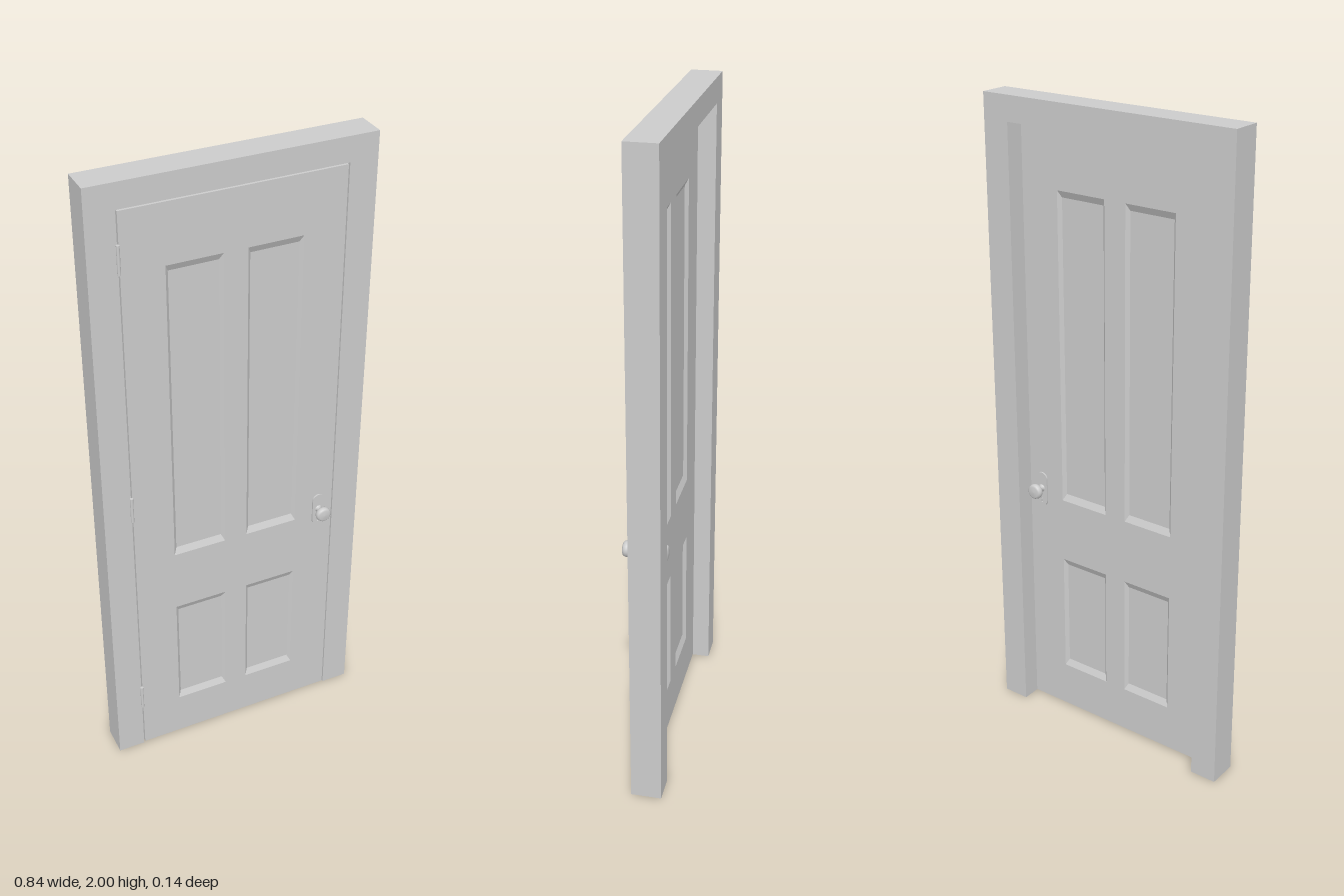
import * as THREE from 'three';

const FRONT = 0.022, DOOR_BACK = -0.017, FRAME_BACK = -0.071;
const HALF_W = 0.418, TOP = 2;
const DOOR_HALF = 0.329, DOOR_BOTTOM = 0.005, DOOR_TOP = 1.921, GAP = 0.004;

// Panel openings as [x0, y0, x1, y1], mirrored left and right
const PANELS = [];
for (const [y0, y1] of [[0.154, 0.551], [0.76, 1.74]]) {
  PANELS.push([-0.203, y0, -0.036, y1], [0.036, y0, 0.203, y1]);
}

function rectPath(x0, y0, x1, y1, Type = THREE.Shape) {
  return new Type().setFromPoints([
    new THREE.Vector2(x0, y0), new THREE.Vector2(x1, y0),
    new THREE.Vector2(x1, y1), new THREE.Vector2(x0, y1),
  ]);
}

// Sunken panel: four sloped sides running down to a flat field
function panelGeometry(x0, y0, x1, y1) {
  const ix = 0.01, iy = 0.021, depth = 0.01;
  const outer = [[x0, y0, 0], [x1, y0, 0], [x1, y1, 0], [x0, y1, 0]];
  const inner = [
    [x0 + ix, y0 + iy, -depth], [x1 - ix, y0 + iy, -depth],
    [x1 - ix, y1 - iy, -depth], [x0 + ix, y1 - iy, -depth],
  ];
  const pos = [];
  const quad = (a, b, c, d) => pos.push(...a, ...b, ...c, ...a, ...c, ...d);
  for (let i = 0; i < 4; i++) {
    const j = (i + 1) % 4;
    quad(outer[i], outer[j], inner[j], inner[i]);
  }
  quad(...inner);
  const geo = new THREE.BufferGeometry();
  geo.setAttribute('position', new THREE.Float32BufferAttribute(pos, 3));
  geo.computeVertexNormals();
  return geo;
}

export function createModel() {
  const model = new THREE.Group();
  model.name = 'door';
  const grey = new THREE.MeshStandardMaterial({ color: 0xcccccc });
  grey.name = 'light grey';

  const add = (parent, name, geo, x = 0, y = 0, z = 0) => {
    const mesh = new THREE.Mesh(geo, grey);
    mesh.name = name;
    mesh.position.set(x, y, z);
    parent.add(mesh);
    return mesh;
  };

  // Frame: two jambs and a head in one outline, open at the floor
  const ox = DOOR_HALF + GAP, oy = DOOR_TOP + GAP;
  const outline = new THREE.Shape().setFromPoints([
    [-HALF_W, 0], [-ox, 0], [-ox, oy], [ox, oy],
    [ox, 0], [HALF_W, 0], [HALF_W, TOP], [-HALF_W, TOP],
  ].map(([x, y]) => new THREE.Vector2(x, y)));
  add(model, 'frame', new THREE.ExtrudeGeometry(outline, {
    depth: FRONT - FRAME_BACK, bevelEnabled: false,
  }), 0, 0, FRAME_BACK);

  // Door leaf with four panel openings
  const leaf = rectPath(-DOOR_HALF, DOOR_BOTTOM, DOOR_HALF, DOOR_TOP);
  leaf.holes = PANELS.map((p) => rectPath(...p, THREE.Path));
  add(model, 'doorLeaf', new THREE.ExtrudeGeometry(leaf, {
    depth: FRONT - DOOR_BACK, bevelEnabled: false,
  }), 0, 0, DOOR_BACK);

  // Backplate with rounded ends and a keyhole
  const r = 0.02, half = 0.037;
  const plate = new THREE.Shape();
  plate.absarc(0, half, r, 0, Math.PI);
  plate.absarc(0, -half, r, Math.PI, Math.PI * 2);
  plate.closePath();
  const keyhole = new THREE.Path();
  keyhole.absarc(0, -0.032, 0.004, -Math.PI * 0.3, Math.PI * 1.3);
  keyhole.lineTo(-0.003, -0.046);
  keyhole.lineTo(0.003, -0.046);
  keyhole.closePath();
  plate.holes.push(keyhole);
  const plateGeo = new THREE.ExtrudeGeometry(plate, {
    depth: 0.005, bevelEnabled: false, curveSegments: 12,
  });

  // Turned knob: neck, then a cushion-shaped grip
  const knobGeo = new THREE.LatheGeometry([
    [0.012, 0.004], [0.012, 0.007], [0.008, 0.009], [0.008, 0.024],
    [0.018, 0.025], [0.022, 0.028], [0.024, 0.033], [0.024, 0.038],
    [0.022, 0.044], [0.017, 0.047], [0, 0.048],
  ].map(([x, y]) => new THREE.Vector2(x, y)), 24);
  knobGeo.rotateX(Math.PI / 2);

  // Panels and handle on both sides of the leaf
  for (const [side, z, turn] of [['front', FRONT, 0], ['back', DOOR_BACK, Math.PI]]) {
    const face = new THREE.Group();
    face.name = side + 'Face';
    face.position.z = z;
    face.rotation.y = turn;
    PANELS.forEach((p) => add(face, 'panel', panelGeometry(...p)));
    const handleX = turn ? -0.282 : 0.282;
    add(face, 'handlePlate', plateGeo, handleX, 0.778);
    add(face, 'knob', knobGeo, handleX, 0.782);
    model.add(face);
  }

  // Hinge barrels along the other edge
  const hingeGeo = new THREE.CylinderGeometry(0.005, 0.005, 0.085, 12);
  for (const y of [0.217, 0.979, 1.787]) {
    add(model, 'hinge', hingeGeo, -0.333, y, FRONT + 0.005);
  }
  return model;
}
